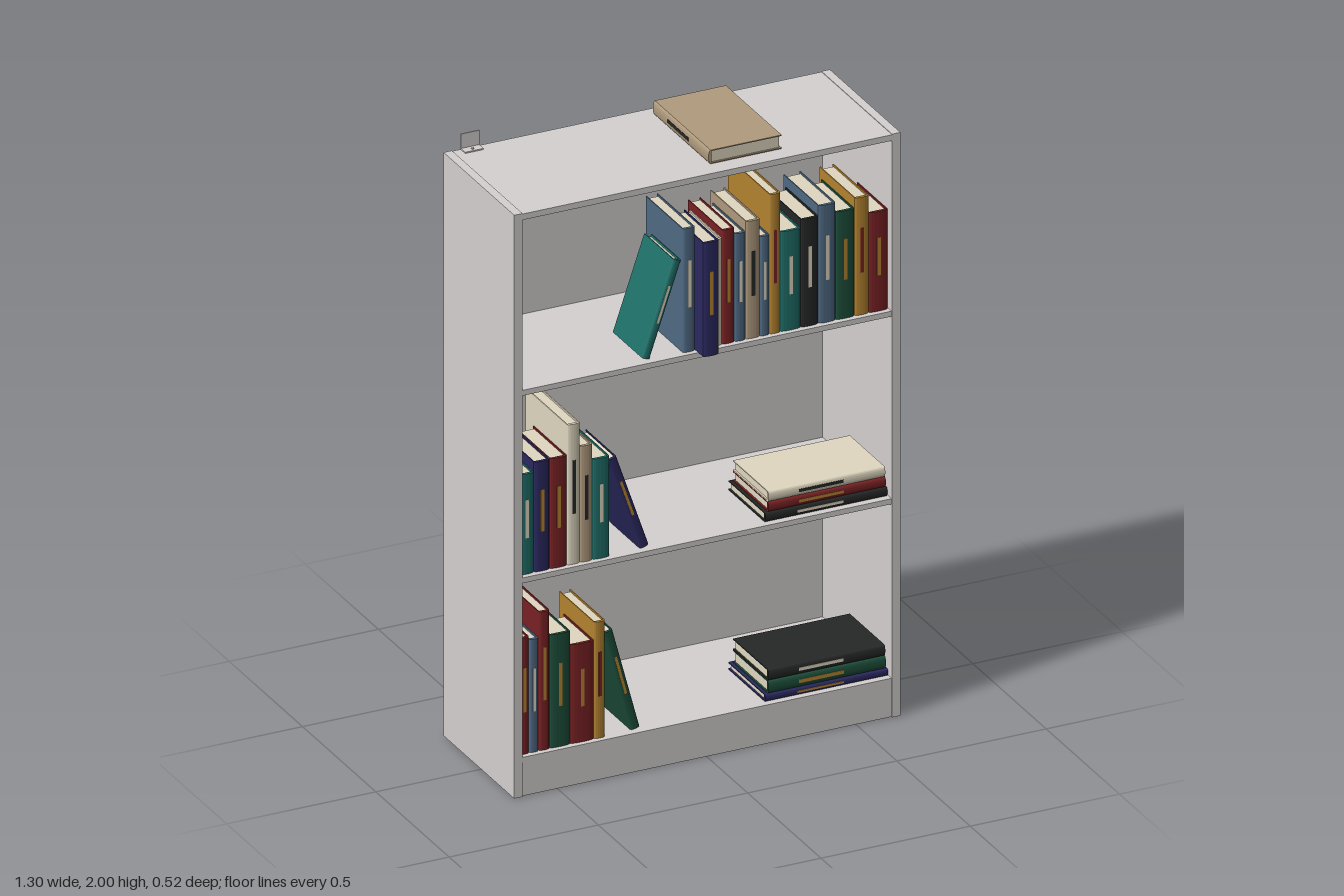
import * as THREE from 'three';

function mat(name, color) {
  const m = new THREE.MeshStandardMaterial({ color });
  m.name = name;
  return m;
}

export function createModel() {
  const C = {
    white: mat('cabinetWhite', 0xd6d1d0), teal: mat('teal', 0x1f6f69),
    slate: mat('slateBlue', 0x4f6a84), navy: mat('navy', 0x2b2960),
    cream: mat('cream', 0xe0d8c0), maroon: mat('maroon', 0x7a2224),
    tan: mat('tan', 0xb09b7e), gold: mat('gold', 0xb58430),
    green: mat('darkGreen', 0x1d4f3b), black: mat('black', 0x262727),
  };
  const root = new THREE.Group();
  root.name = 'bookcase';

  function box(parent, name, material, x0, x1, y0, y1, z0, z1) {
    const m = new THREE.Mesh(new THREE.BoxGeometry(x1 - x0, y1 - y0, z1 - z0), material);
    m.position.set((x0 + x1) / 2, (y0 + y1) / 2, (z0 + z1) / 2);
    m.name = name;
    parent.add(m);
    return m;
  }

  // Cabinet
  const cabinet = new THREE.Group();
  cabinet.name = 'cabinet';
  root.add(cabinet);
  const W = 0.647, IN = 0.619, BACK = -0.257, FRONT = 0.225;
  const shelfTops = [0.13, 0.73, 1.357];
  box(cabinet, 'backPanel', C.white, -IN, IN, 0, 1.948, BACK, BACK + 0.008);
  box(cabinet, 'topPanel', C.white, -IN, IN, 1.928, 1.948, BACK + 0.008, FRONT);
  box(cabinet, 'kickBoard', C.white, -IN, IN, 0, 0.112, 0.2, 0.22);
  shelfTops.forEach((y, i) =>
    box(cabinet, 'shelf' + (i + 1), C.white, -IN, IN, y - 0.018, y, BACK + 0.008, FRONT - 0.003));
  for (const s of [-1, 1]) {
    box(cabinet, s < 0 ? 'rightSide' : 'leftSide', C.white,
      Math.min(s * IN, s * W), Math.max(s * IN, s * W), 0, 1.95, BACK, FRONT);
    // Shelf pins under the two upper shelves
    for (const y of shelfTops.slice(1)) for (const z of [-0.16, 0.16]) {
      const pin = new THREE.Mesh(new THREE.CylinderGeometry(0.005, 0.005, 0.016, 10), C.white);
      pin.rotation.z = Math.PI / 2;
      pin.position.set(s * (IN - 0.007), y - 0.024, z);
      pin.name = 'shelfPin';
      cabinet.add(pin);
    }
  }
  box(cabinet, 'screwCap', C.white, W, W + 0.002, 0.23, 0.243, 0.135, 0.165);

  // Wall bracket on top
  const bracket = new THREE.Group();
  bracket.name = 'wallBracket';
  root.add(bracket);
  box(bracket, 'bracketFoot', C.white, -0.59, -0.528, 1.948, 1.952, -0.258, -0.225);
  box(bracket, 'bracketPlate', C.white, -0.59, -0.528, 1.948, 2, -0.258, -0.254);
  const screw = new THREE.Mesh(new THREE.CylinderGeometry(0.005, 0.005, 0.004, 10), C.white);
  screw.position.set(-0.559, 1.953, -0.238);
  screw.name = 'bracketScrew';
  bracket.add(screw);

  // Book: spine faces +z at z = 0, centred on x, standing on y = 0
  function book(name, color, w, h, d = h * 0.62) {
    const g = new THREE.Group();
    g.name = name;
    const t = 0.0035, a = w / 2, r = Math.min(0.007, w * 0.25);
    const s = new THREE.Shape();
    s.moveTo(-a, r);
    s.quadraticCurveTo(-a * 0.9, 0, 0, 0);
    s.quadraticCurveTo(a * 0.9, 0, a, r);
    [[a, d], [a - t, d], [a - t, r + t], [t - a, r + t], [t - a, d], [-a, d]]
      .forEach(p => s.lineTo(p[0], p[1]));
    s.closePath();
    const geo = new THREE.ExtrudeGeometry(s, { depth: h, bevelEnabled: false, curveSegments: 4 });
    geo.rotateX(-Math.PI / 2);
    const cover = new THREE.Mesh(geo, C[color]);
    cover.name = 'cover';
    g.add(cover);
    box(g, 'pages', C.cream, t - a, a - t, 0.006, h - 0.006, 0.006 - d, -r - t);
    // Plain title bar on the spine
    const accent = { cream: 'black', tan: 'black', navy: 'gold', maroon: 'gold', green: 'gold', gold: 'maroon' }[color] || 'cream';
    const b = Math.min(0.006, w * 0.14);
    box(g, 'titleBar', C[accent], -b, b, h * 0.36, h * 0.74, -0.002, 0.0008);
    return g;
  }

  // Standing rows: [right edge x, top y, colour, optional spine z]
  function row(name, x, floor, list) {
    const g = new THREE.Group();
    g.name = name;
    for (const [x1, top, color, z = 0.205] of list) {
      const b = book(color + 'Book', color, x1 - x - 0.001, top - floor);
      b.position.set((x + x1) / 2, floor, z);
      g.add(b);
      x = x1;
    }
    root.add(g);
  }
  row('topRow', -0.071, shelfTops[2], [
    [-0.029, 1.77, 'slate'], [0.024, 1.738, 'navy', 0.26], [0.061, 1.712, 'cream'],
    [0.103, 1.738, 'maroon'], [0.14, 1.717, 'slate'], [0.188, 1.75, 'tan'],
    [0.22, 1.69, 'slate'], [0.257, 1.823, 'gold'], [0.325, 1.69, 'teal'],
    [0.384, 1.717, 'black'], [0.442, 1.75, 'slate'], [0.505, 1.717, 'green'],
    [0.553, 1.75, 'gold'], [0.617, 1.69, 'maroon'],
  ]);
  row('middleRow', -0.618, shelfTops[1], [
    [-0.569, 1.065, 'teal'], [-0.516, 1.097, 'navy'], [-0.458, 1.097, 'maroon'],
    [-0.415, 1.198, 'cream'], [-0.373, 1.118, 'tan'], [-0.315, 1.065, 'teal'],
  ]);
  row('bottomRow', -0.618, shelfTops[0], [
    [-0.585, 0.519, 'maroon'], [-0.553, 0.508, 'slate'], [-0.516, 0.593, 'maroon'],
    [-0.447, 0.508, 'green'], [-0.368, 0.46, 'maroon'], [-0.33, 0.519, 'gold'],
  ]);

  // Leaning books: x of the corner on the shelf; a positive angle tips the top to -x
  function lean(color, x, floor, w, h, angle) {
    const b = book('leaningBook', color, w, h);
    b.rotation.z = angle;
    const s = Math.sign(angle);
    b.position.set(x + s * w / 2 * Math.cos(angle), floor + w / 2 * Math.abs(Math.sin(angle)), 0.2);
    root.add(b);
  }
  lean('teal', -0.179, shelfTops[2], 0.028, 0.325, -0.33);
  lean('navy', -0.212, shelfTops[1], 0.031, 0.335, 0.33);
  lean('green', -0.243, shelfTops[0], 0.031, 0.355, 0.26);

  // Lying stacks: [colour, thickness, x start, x end]
  function stack(name, floor, list) {
    const g = new THREE.Group();
    g.name = name;
    let y = floor;
    for (const [color, w, x0, x1] of list) {
      const b = book(color + 'Book', color, w - 0.001, x1 - x0);
      b.rotation.z = Math.PI / 2;
      b.position.set(x1, y + w / 2, 0.205);
      g.add(b);
      y += w;
    }
    root.add(g);
  }
  stack('middleStack', shelfTops[1], [
    ['black', 0.032, 0.205, 0.613], ['maroon', 0.034, 0.215, 0.608], ['cream', 0.036, 0.215, 0.606]]);
  stack('bottomStack', shelfTops[0], [
    ['navy', 0.025, 0.205, 0.615], ['green', 0.043, 0.215, 0.608], ['black', 0.038, 0.215, 0.606]]);

  // Book lying on top, spine towards -x
  const topBook = book('topBook', 'tan', 0.046, 0.38, 0.245);
  topBook.quaternion.setFromRotationMatrix(new THREE.Matrix4().makeBasis(
    new THREE.Vector3(0, 1, 0), new THREE.Vector3(0, 0, -1), new THREE.Vector3(-1, 0, 0)));
  topBook.position.set(0.03, 1.975, 0.172);
  root.add(topBook);

  return root;
}
